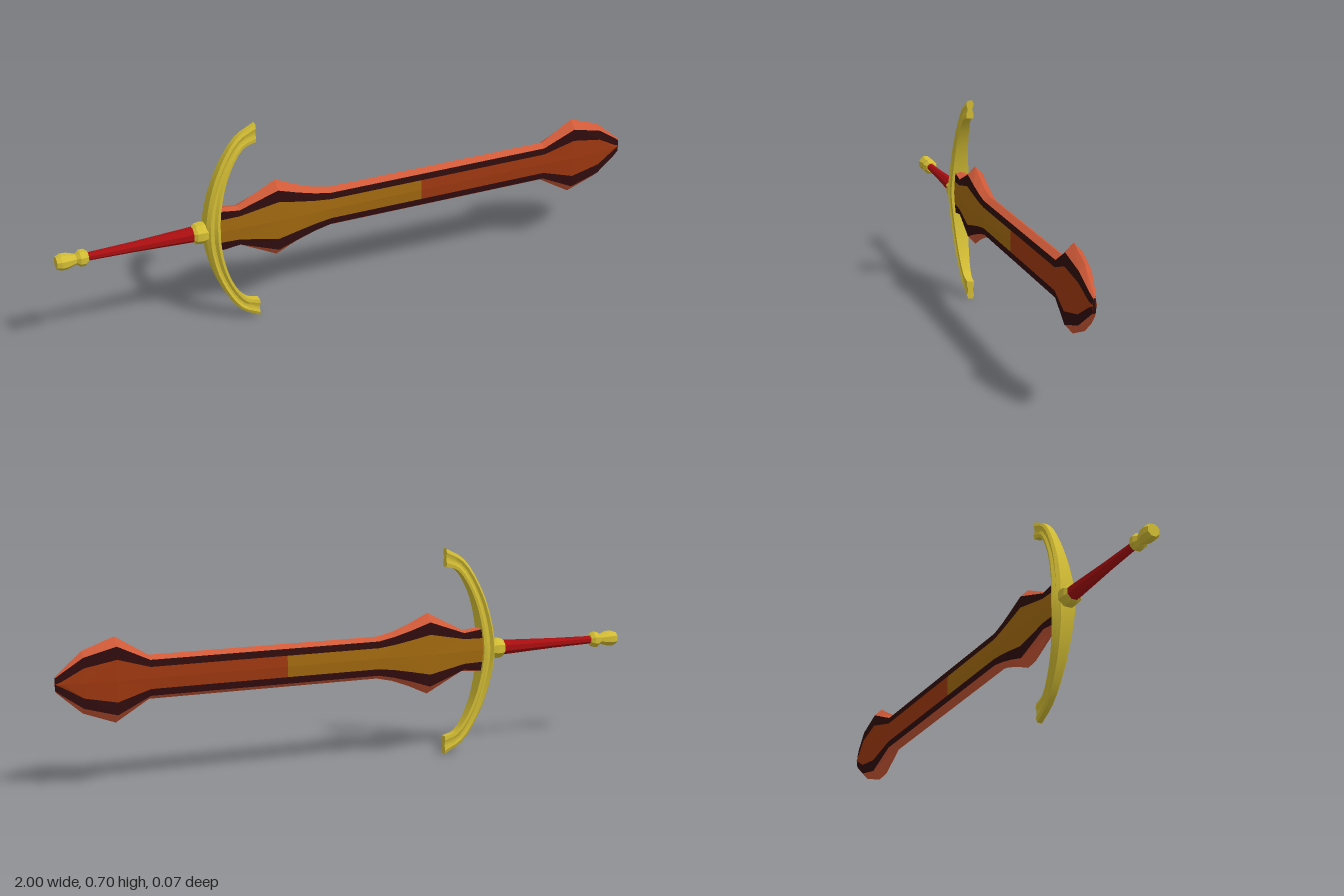
import * as THREE from 'three';
import { toCreasedNormals } from 'three/addons/utils/BufferGeometryUtils.js';

const CY = 0.348; // height of the long axis

const mat = (name, color, extra = {}) => {
  const m = new THREE.MeshStandardMaterial({ color, ...extra });
  m.name = name;
  return m;
};

// Blade stations: x, then half-widths of cutting edge, dark band and fuller, then half thickness
const STATIONS = [
  [-0.48, 0.076, 0.072, 0.04, 0.018],
  [-0.4, 0.07, 0.062, 0.042, 0.02],
  [-0.27, 0.136, 0.108, 0.067, 0.026],
  [-0.2, 0.104, 0.085, 0.053, 0.024],
  [-0.14, 0.082, 0.068, 0.042, 0.022],
  [-0.085, 0.07, 0.057, 0.035, 0.02],
  [0.24, 0.07, 0.057, 0.035, 0.02],
  [0.7, 0.07, 0.057, 0.035, 0.02],
  [0.81, 0.136, 0.108, 0.067, 0.026],
  [0.915, 0.098, 0.08, 0.047, 0.019],
  [0.98, 0.042, 0.036, 0.01, 0.009],
  [1.0, 0.024, 0.021, 0.001, 0.004],
];

// Point k across a station: 0 edge, 1 outer band, 2 fuller border, 3 centre line
function bladePoint([x, edge, band, fuller, t], k, sy, sz) {
  const y = [edge, band, fuller, 0][k];
  const z = [0, t, t + 0.002, t + 0.004][k];
  return [x, CY + sy * y, sz * z];
}

// Strip between points k and k + 1, mirrored to both faces and both edges
function bladeStrip(stations, k) {
  const pos = [];
  for (const sy of [1, -1]) for (const sz of [1, -1]) {
    for (let i = 0; i < stations.length - 1; i++) {
      const a = bladePoint(stations[i], k, sy, sz);
      const b = bladePoint(stations[i], k + 1, sy, sz);
      const c = bladePoint(stations[i + 1], k + 1, sy, sz);
      const d = bladePoint(stations[i + 1], k, sy, sz);
      const order = sy * sz > 0 ? [a, b, c, a, c, d] : [a, c, b, a, d, c];
      pos.push(...order.flat());
    }
  }
  const g = new THREE.BufferGeometry();
  g.setAttribute('position', new THREE.Float32BufferAttribute(pos, 3));
  g.computeVertexNormals();
  return g;
}

// Crossguard: ridged section swept between an outer and an inner curve
function guardGeometry() {
  const curve = (pts) => new THREE.CatmullRomCurve3(
    [...pts.map(([x, y]) => [x, -y]), ...pts.slice(0, -1).reverse()]
      .map(([x, y]) => new THREE.Vector3(x, y, 0)));
  const outer = curve([[-0.335, 0.348], [-0.4, 0.31], [-0.457, 0.225], [-0.497, 0.12], [-0.515, 0]]);
  const inner = curve([[-0.335, 0.287], [-0.378, 0.273], [-0.427, 0.2], [-0.458, 0.105], [-0.47, 0]]);
  const half = [[0, 0.65], [0.22, 1], [0.42, 0.72], [0.58, 0.72], [0.78, 1], [1, 0.9]];
  const section = [...half, ...half.map(([u, w]) => [u, -w]).reverse()];
  const n = section.length, steps = 24, pos = [], idx = [];
  for (let i = 0; i <= steps; i++) {
    const o = outer.getPoint(i / steps), p = inner.getPoint(i / steps);
    const w = THREE.MathUtils.lerp(0.036, 0.013, Math.min(1, Math.abs(o.y) / 0.34));
    for (const [u, s] of section) {
      const q = o.clone().lerp(p, u);
      pos.push(q.x, CY + q.y, s * w);
    }
  }
  for (let i = 0; i < steps; i++) for (let j = 0; j < n; j++) {
    const a = i * n + j, b = i * n + (j + 1) % n;
    idx.push(a, b, b + n, a, b + n, a + n);
  }
  // End caps, paired across the section
  const last = steps * n;
  for (let j = 0; j < n / 2 - 1; j++) {
    const a = j, b = j + 1, c = n - 2 - j, d = n - 1 - j;
    idx.push(a, c, b, a, d, c);
    idx.push(last + a, last + b, last + c, last + a, last + c, last + d);
  }
  const g = new THREE.BufferGeometry();
  g.setAttribute('position', new THREE.Float32BufferAttribute(pos, 3));
  g.setIndex(idx);
  return toCreasedNormals(g, 0.4);
}

export function createModel() {
  const root = new THREE.Group();
  root.name = 'sword';
  const two = { side: THREE.DoubleSide };
  const gold = mat('gold', 0xd2bc34, two);
  const goldFacet = gold;
  const red = mat('gripRed', 0xa80e10);
  const copper = mat('edgeCopper', 0xd05a38, two);
  const dark = mat('darkMaroon', 0x300c0e, two);
  const amber = mat('fullerAmber', 0xa0680f, two);
  const rust = mat('fullerRust', 0x9c3710, two);

  const add = (name, geometry, material) => {
    const m = new THREE.Mesh(geometry, material);
    m.name = name;
    root.add(m);
    return m;
  };

  // Blade
  const split = STATIONS.findIndex((s) => s[0] === 0.24);
  add('bladeEdge', bladeStrip(STATIONS, 0), copper);
  add('bladeBand', bladeStrip(STATIONS, 1), dark);
  add('lowerFuller', bladeStrip(STATIONS.slice(0, split + 1), 2), amber);
  add('upperFuller', bladeStrip(STATIONS.slice(split), 2), rust);
  const tip = add('bladeTip', new THREE.BoxGeometry(0.002, 0.04, 0.006), dark);
  tip.position.set(0.999, CY, 0);

  // Crossguard
  add('crossguard', guardGeometry(), gold);

  // Turned handle parts: profile points are [x, radius]
  const turned = (name, profile, material) => {
    const g = new THREE.LatheGeometry(profile.map(([x, r]) => new THREE.Vector2(r, x)), 8, Math.PI / 8);
    const m = add(name, toCreasedNormals(g, 0.3), material);
    m.rotation.z = -Math.PI / 2;
    m.position.y = CY;
  };
  turned('grip', [[-0.91, 0.013], [-0.75, 0.017], [-0.54, 0.026]], red);
  turned('collar', [[-0.555, 0], [-0.555, 0.026], [-0.545, 0.034], [-0.525, 0.036], [-0.5, 0.03]], gold);
  turned('pommel', [[-1, 0], [-1, 0.021], [-0.985, 0.027], [-0.965, 0.026], [-0.937, 0.017],
    [-0.925, 0.027], [-0.91, 0.027], [-0.898, 0.018], [-0.898, 0]], goldFacet);
  return root;
}
